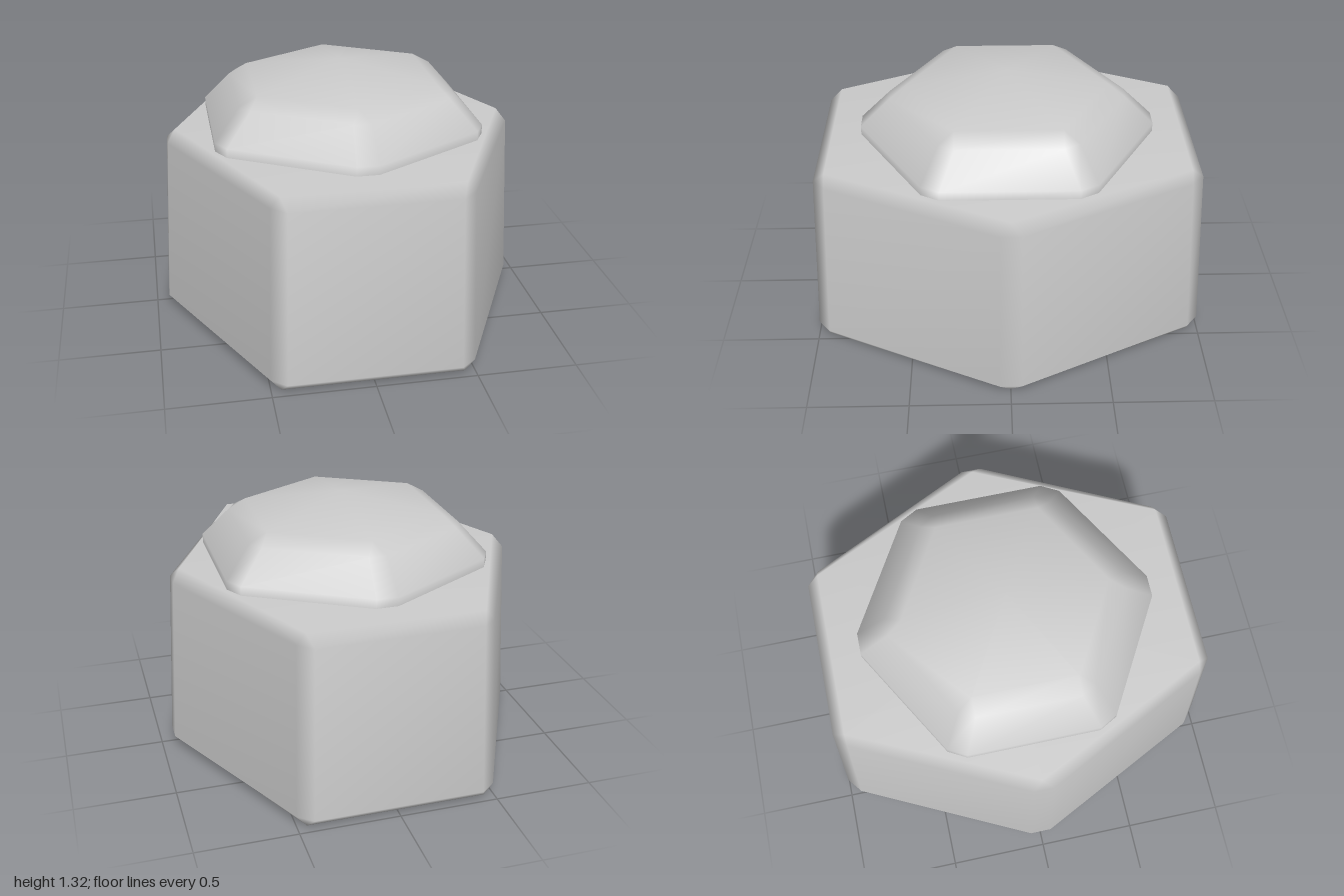
import * as THREE from 'three';
import { mergeVertices } from 'three/addons/utils/BufferGeometryUtils.js';

// Mirror one quarter of an outline ([x, z] points) into a full ring
function fullRing(quarter) {
  const back = [...quarter].reverse();
  return [
    ...quarter,
    ...back.map(([x, z]) => [-x, z]),
    ...quarter.map(([x, z]) => [-x, -z]),
    ...back.map(([x, z]) => [x, -z]),
  ];
}

// Skin a stack of rings; apexY and floorY close the ends with fans
function loft(levels, apexY, floorY) {
  const pos = [], index = [];
  for (const { y, quarter } of levels) {
    for (const [x, z] of fullRing(quarter)) pos.push(x, y, z);
  }
  const n = levels[0].quarter.length * 4;
  for (let k = 0; k < levels.length - 1; k++) {
    for (let i = 0; i < n; i++) {
      const a = k * n + i, b = k * n + (i + 1) % n;
      index.push(a, a + n, b, b, a + n, b + n);
    }
  }
  const addCap = (start, y, up) => {
    const centre = pos.length / 3;
    pos.push(0, y, 0);
    for (let i = 0; i < n; i++) {
      const a = start + i, b = start + (i + 1) % n;
      index.push(centre, up ? b : a, up ? a : b);
    }
  };
  addCap((levels.length - 1) * n, apexY, true);
  if (floorY !== undefined) addCap(0, floorY, false);

  const geo = new THREE.BufferGeometry();
  geo.setAttribute('position', new THREE.Float32BufferAttribute(pos, 3));
  geo.setIndex(index);
  const merged = mergeVertices(geo, 1e-4);
  merged.computeVertexNormals();
  return merged;
}

export function createModel() {
  const group = new THREE.Group();
  const material = new THREE.MeshStandardMaterial({ color: 0xcccccc });
  const add = (name, geometry) => {
    const mesh = new THREE.Mesh(geometry, material);
    mesh.name = name;
    group.add(mesh);
  };

  // Tapered hexagonal base; chamfered corners meet in single points at the flat faces
  add('base', loft([
    { y: 0, quarter: [[0.895, 0], [0.45, 0.945], [0.45, 0.945]] },
    { y: 0.055, quarter: [[0.935, 0.055], [0.5, 0.94], [0.425, 1]] },
    { y: 0.93, quarter: [[0.89, 0.05], [0.475, 0.895], [0.405, 0.955]] },
    { y: 0.985, quarter: [[0.85, 0], [0.43, 0.895], [0.43, 0.895]] },
  ], 0.985, 0));

  // Faceted hexagonal cap with a shallow pyramid top, sunk slightly into the base
  add('cap', loft([
    { y: 0.96, quarter: [[0.67, 0.33], [0.62, 0.42], [0.055, 0.745]] },
    { y: 1.03, quarter: [[0.67, 0.33], [0.62, 0.42], [0.055, 0.745]] },
    { y: 1.18, quarter: [[0.54, 0.26], [0.495, 0.335], [0.045, 0.595]] },
    { y: 1.23, quarter: [[0.45, 0.26], [0.45, 0.26], [0, 0.515]] },
  ], 1.315));

  return group;
}
